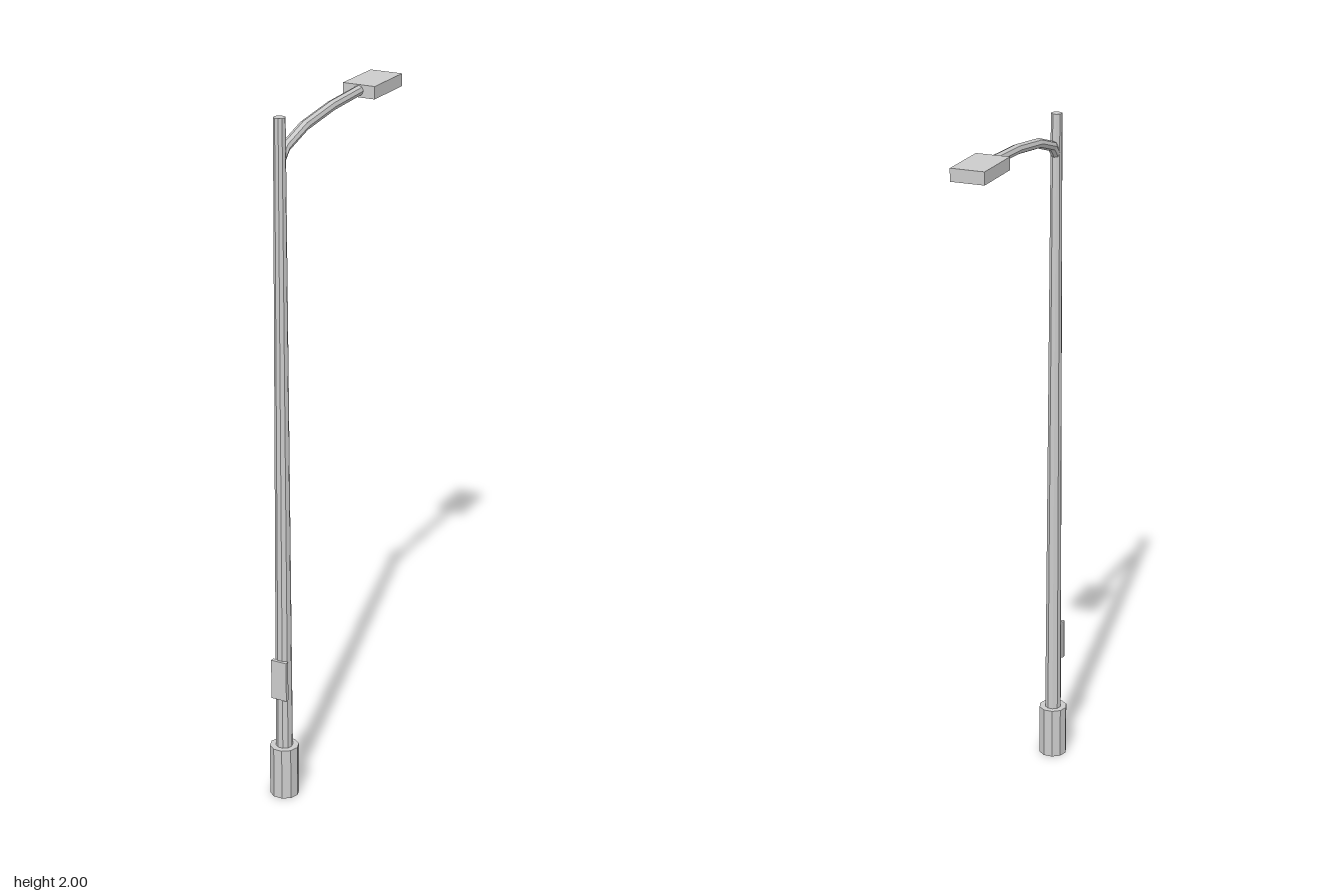
import * as THREE from 'three';

const material = new THREE.MeshStandardMaterial({ color: 0xcccccc, flatShading: true, side: THREE.DoubleSide });
const POLE_Z = 0.287;

function add(group, name, geometry, x, y, z) {
  const mesh = new THREE.Mesh(geometry, material);
  mesh.name = name;
  mesh.position.set(x, y, z);
  group.add(mesh);
}

// Ten-sided upright with flat faces toward front and back
function upright(top, bottom, height) {
  return new THREE.CylinderGeometry(top, bottom, height, 10, 1, false, Math.PI / 2);
}

// Octagonal pipe following [z, y] points, mitred at each bend
function pipe(path, radius, sides = 8) {
  const pts = path.map(([z, y]) => new THREE.Vector3(0, y, z));
  const positions = [], index = [];
  pts.forEach((p, i) => {
    const before = pts[Math.max(i - 1, 0)], after = pts[Math.min(i + 1, pts.length - 1)];
    const dir = after.clone().sub(before).normalize();
    for (let s = 0; s < sides; s++) {
      const a = (s / sides) * Math.PI * 2, up = Math.sin(a) * radius;
      positions.push(Math.cos(a) * radius, p.y - dir.z * up, p.z + dir.y * up);
      if (i < pts.length - 1) {
        const q = i * sides + s, r = i * sides + (s + 1) % sides;
        index.push(q, r, q + sides, r, r + sides, q + sides);
      }
    }
  });
  // End caps
  const last = (pts.length - 1) * sides;
  for (let s = 1; s < sides - 1; s++) {
    index.push(0, s + 1, s, last, last + s, last + s + 1);
  }
  const geometry = new THREE.BufferGeometry();
  geometry.setAttribute('position', new THREE.Float32BufferAttribute(positions, 3));
  geometry.setIndex(index);
  geometry.computeVertexNormals();
  return geometry;
}

export function createModel() {
  const group = new THREE.Group();
  group.name = 'streetLight';

  // Base sleeve and tapering pole
  add(group, 'base', upright(0.042, 0.042, 0.155), 0, 0.0775, POLE_Z);
  add(group, 'pole', upright(0.0165, 0.025, 1.99), 0, 1.005, POLE_Z);

  // Service hatch on the front of the pole
  add(group, 'hatch', new THREE.BoxGeometry(0.048, 0.12, 0.012), 0, 0.373, 0.311);

  // Curved arm reaching back to the lamp
  const path = [[0.287, 1.88], [0.256, 1.913], [0.153, 1.945], [0, 1.964], [-0.177, 1.971]];
  add(group, 'arm', pipe(path, 0.0145), 0, 0, 0);

  // Flat lamp head
  add(group, 'lampHead', new THREE.BoxGeometry(0.098, 0.036, 0.168), 0, 1.969, -0.244);

  return group;
}
